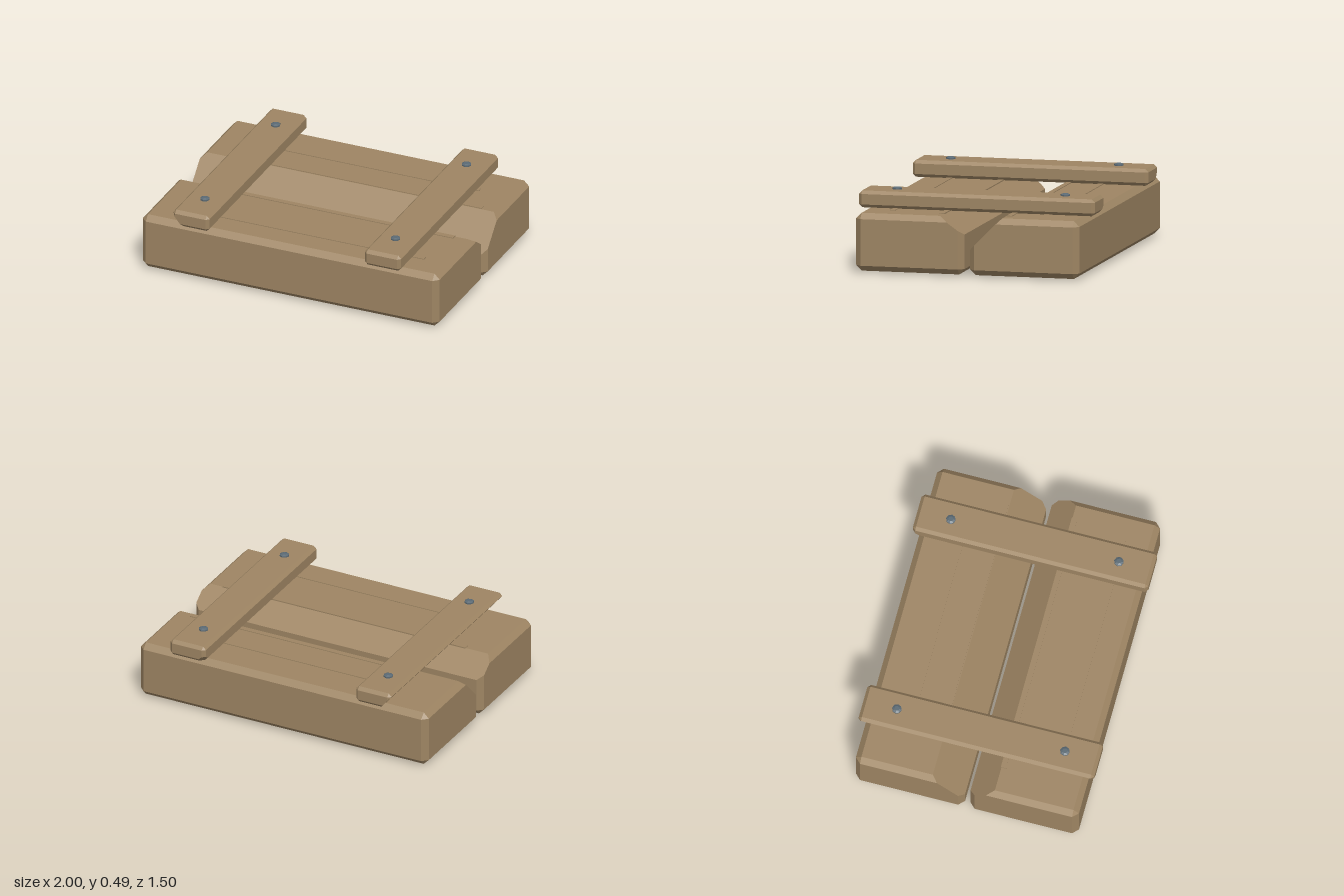
import * as THREE from 'three';
import { ConvexGeometry } from 'three/addons/geometries/ConvexGeometry.js';

// Box with bevelled edges between two corners, optionally sliced by a plane
// (the side the plane normal points to is removed).
function bevelledBox(min, max, bevel, cut) {
  const corners = [];
  for (let axis = 0; axis < 3; axis++) {
    for (const x of [0, 1]) for (const y of [0, 1]) for (const z of [0, 1]) {
      const s = [x, y, z];
      const p = s.map((v, i) => {
        const inset = i === axis ? 0 : bevel;
        return v ? max[i] - inset : min[i] + inset;
      });
      corners.push({ axis, s, p: new THREE.Vector3(...p) });
    }
  }
  if (!cut) return new ConvexGeometry(corners.map((c) => c.p));

  const points = corners.filter((c) => cut.distanceToPoint(c.p) <= 0).map((c) => c.p);
  corners.forEach((a, i) => corners.slice(i + 1).forEach((b) => {
    const flips = a.s.filter((v, k) => v !== b.s[k]).length;
    const isEdge = flips === 0 || (a.axis === b.axis && flips === 1);
    const da = cut.distanceToPoint(a.p), db = cut.distanceToPoint(b.p);
    if (isEdge && da * db < 0) points.push(a.p.clone().lerp(b.p, da / (da - db)));
  }));
  return new ConvexGeometry(points);
}

// Plane through a point with the given outward normal
const planeAt = (normal, point) => new THREE.Plane().setFromNormalAndCoplanarPoint(
  new THREE.Vector3(...normal).normalize(), new THREE.Vector3(...point));

export function createModel() {
  const model = new THREE.Group();
  const wood = new THREE.MeshStandardMaterial({ color: 0x9e8563 });
  wood.name = 'wood';
  const metal = new THREE.MeshStandardMaterial({ color: 0x5b6a74 });
  metal.name = 'metal';

  const add = (name, geometry, material) => {
    const mesh = new THREE.Mesh(geometry, material);
    mesh.name = name;
    model.add(mesh);
    return mesh;
  };

  // Two heavy beams, each with its inner top edge sliced away
  add('frontBeam', bevelledBox([-1, 0.01, 0.02], [1, 0.37, 0.71], 0.035,
    planeAt([0, 0.155, -0.11], [0, 0.37, 0.175])), wood);
  add('backBeam', bevelledBox([-1, 0.01, -0.71], [1, 0.37, -0.015], 0.035,
    planeAt([0, 1, 1], [0, 0.37, -0.22])), wood);

  // Cross planks: one split along its lower outer edge, one chipped at a back corner
  add('rightPlank', bevelledBox([-0.77, 0.37, -0.75], [-0.525, 0.475, 0.75], 0.02,
    planeAt([-0.085, -0.07, 0], [-0.77, 0.455, 0])), wood);
  add('leftPlank', bevelledBox([0.52, 0.37, -0.75], [0.765, 0.475, 0.75], 0.02,
    planeAt([-1, -1.2, -1], [0.52, 0.425, -0.75])), wood);

  // Slightly raised grain strips: x from, x to, z centre, y centre
  const strips = [
    [-0.81, 0.88, 0.188, 0.37], [-0.7, 0.83, 0.515, 0.37],
    [-0.7, 0.77, -0.448, 0.37], [-0.7, 0.88, -0.242, 0.37],
    [-0.71, 0.72, -0.43, 0.0075], [-0.61, 0.5, -0.11, 0.0075],
    [-0.72, 0.6, 0.32, 0.0075], [-0.88, 0.83, 0.5, 0.0075],
  ];
  for (const [x0, x1, z, y] of strips) {
    const height = y > 0.1 ? 0.009 : 0.015;
    add('grainStrip', new THREE.BoxGeometry(x1 - x0, height, 0.034), wood)
      .position.set((x0 + x1) / 2, y, z);
  }

  // Bolt heads with a faceted, chamfered top
  const profile = [[0.03, 0], [0.03, 0.01], [0.016, 0.016], [0, 0.016]]
    .map(([r, y]) => new THREE.Vector2(r, y));
  const bolt = new THREE.LatheGeometry(profile, 8).toNonIndexed();
  bolt.computeVertexNormals();
  for (const x of [-0.645, 0.64]) for (const z of [-0.535, 0.535]) {
    add('bolt', bolt, metal).position.set(x, 0.474, z);
  }
  return model;
}
